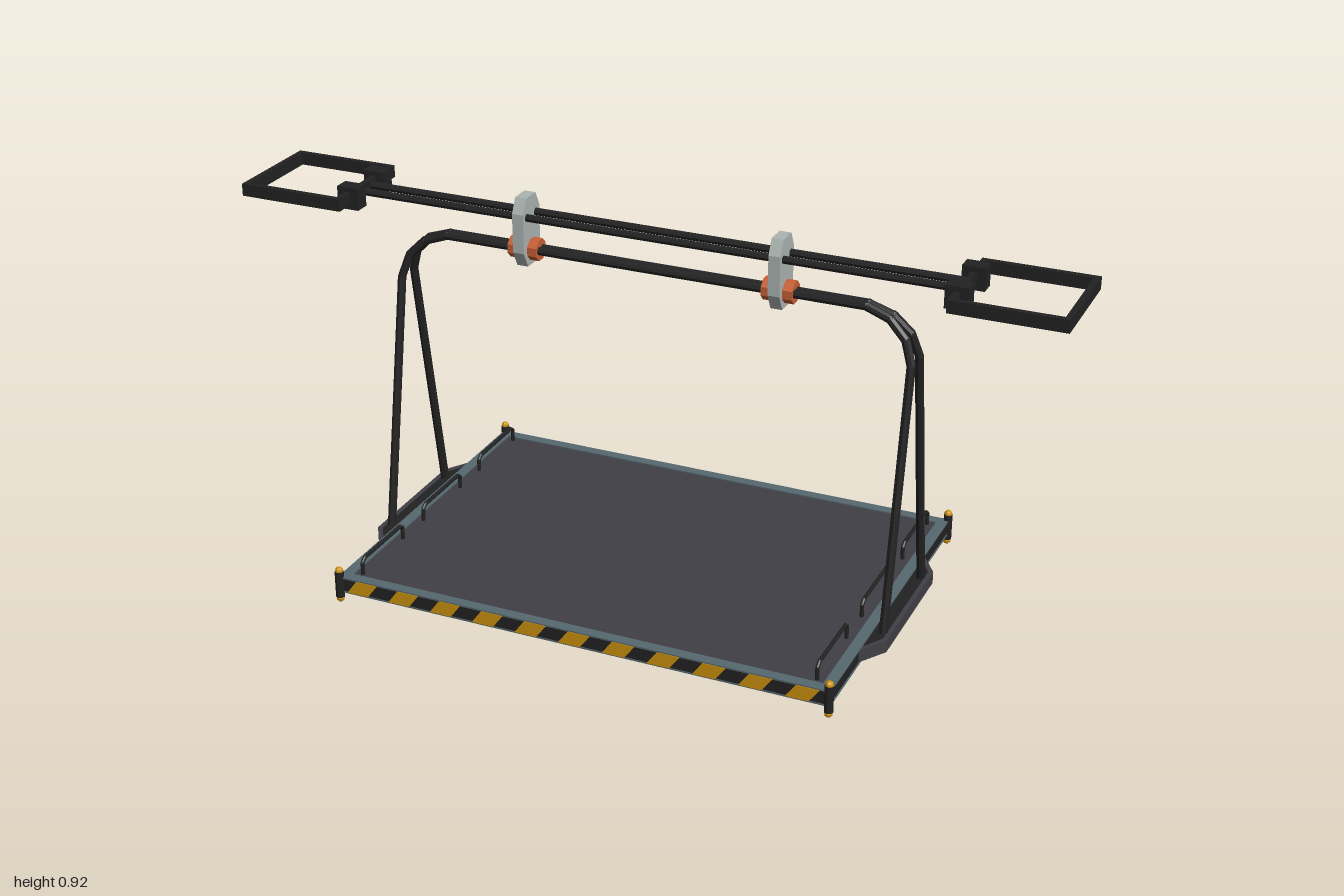
import * as THREE from 'three';
import { mergeGeometries } from 'three/addons/utils/BufferGeometryUtils.js';

const paint = (name, color) => Object.assign(new THREE.MeshStandardMaterial({ color }), { name, flatShading: true });

export function createModel() {
  const model = new THREE.Group();
  model.name = 'hangingPlatform';
  const black = paint('black', 0x222222);
  const deckGrey = paint('deckGrey', 0x403f45);
  const slate = paint('slate', 0x566870);
  const silver = paint('silver', 0xacb5b3);
  const orange = paint('orange', 0xc85f35);
  const yellow = paint('yellow', 0xcc920f);

  const add = (name, geometry, material, x = 0, y = 0, z = 0, parent = model) => {
    const mesh = new THREE.Mesh(geometry, material);
    mesh.name = name;
    mesh.position.set(x, y, z);
    parent.add(mesh);
    return mesh;
  };
  const box = (name, w, h, d, material, x, y, z) => add(name, new THREE.BoxGeometry(w, h, d), material, x, y, z);

  // Straight rods along a bent path, joined by small balls
  const rodPath = (points, r) => {
    const parts = [];
    const up = new THREE.Vector3(0, 1, 0);
    const v = points.map(p => new THREE.Vector3(...p));
    v.forEach((a, i) => {
      if (i > 0 && i < v.length - 1) parts.push(new THREE.SphereGeometry(r, 8, 6).translate(a.x, a.y, a.z));
      if (i === v.length - 1) return;
      const dir = v[i + 1].clone().sub(a);
      const g = new THREE.CylinderGeometry(r, r, dir.length(), 8);
      g.applyQuaternion(new THREE.Quaternion().setFromUnitVectors(up, dir.clone().normalize()));
      const mid = a.clone().addScaledVector(dir, 0.5);
      parts.push(g.translate(mid.x, mid.y, mid.z));
    });
    return mergeGeometries(parts);
  };
  // Flat polygon extruded upwards: points are [x, z]
  const slab = (points, height) => {
    const shape = new THREE.Shape(points.map(([x, z]) => new THREE.Vector2(x, -z)));
    return new THREE.ExtrudeGeometry(shape, { depth: height, bevelEnabled: false }).rotateX(-Math.PI / 2);
  };

  // Platform: deck, black sides and slate rims
  box('deck', 1.18, 0.034, 0.82, deckGrey, 0, 0.046, 0);
  for (const s of [-1, 1]) {
    box('sideBeam', 0.024, 0.033, 0.85, black, s * 0.6, 0.046, 0);
    box('endBeam', 1.2, 0.033, 0.024, black, 0, 0.046, s * 0.414);
    for (const y of [0.028, 0.064]) {
      box('sideRim', 0.026, 0.004, 0.854, slate, s * 0.601, y, 0);
      box('endRim', 1.18, 0.004, 0.026, slate, 0, y, s * 0.414);
    }
  }

  // Slanted warning stripes on the front and back edges
  const stripe = new THREE.Shape([[-0.04, -0.017], [0.015, -0.017], [0.04, 0.017], [-0.015, 0.017]]
    .map(p => new THREE.Vector2(...p)));
  const stripeGeo = new THREE.ExtrudeGeometry(stripe, { depth: 0.003, bevelEnabled: false });
  for (const s of [1, -1]) {
    const edge = new THREE.Group();
    edge.name = s > 0 ? 'frontStripes' : 'backStripes';
    if (s < 0) edge.rotation.y = Math.PI;
    for (let i = 0; i < 11; i++) add('stripe', stripeGeo, yellow, (i - 5) * 0.11, 0.046, 0.4255, edge);
    model.add(edge);
  }

  // Corner posts with yellow tips
  for (const x of [-0.611, 0.611]) for (const z of [-0.426, 0.426]) {
    add('cornerPost', new THREE.CylinderGeometry(0.011, 0.011, 0.066, 8), black, x, 0.047, z);
    for (const y of [0.01, 0.082]) add('postTip', new THREE.SphereGeometry(0.01, 8, 6), yellow, x, y, z);
  }

  for (const s of [-1, 1]) {
    // Side brackets carrying the hoops
    add('bracketCore', slab([[s * 0.6, -0.235], [s * 0.645, -0.165], [s * 0.645, 0.165], [s * 0.6, 0.235]], 0.028), black, 0, 0.031, 0);
    const outer = [[0.61, -0.24], [0.655, -0.17], [0.655, 0.17], [0.61, 0.24]];
    const inner = [[0.61, 0.222], [0.644, 0.165], [0.644, -0.165], [0.61, -0.222]];
    add('bracketRim', slab([...outer, ...inner].map(([x, z]) => [s * x, z]), 0.03), deckGrey, 0, 0.031, 0);

    // Low tie-down handles
    for (const z of [-0.293, 0, 0.293]) {
      const profile = [[-0.095, 0.055], [-0.095, 0.093], [-0.083, 0.102], [0.083, 0.102], [0.095, 0.093], [0.095, 0.055]];
      add('tieHandle', rodPath(profile.map(([a, y]) => [0, y, a]), 0.005), black, s * 0.569, 0, z);
    }
  }

  // Two leaning hoops that meet at the top
  const half = [[0.635, 0.05], [0.635, 0.675], [0.617, 0.73], [0.577, 0.77], [0.52, 0.79]];
  const hoop = [...half.map(([x, y]) => [-x, y]), ...half.slice().reverse()];
  for (const s of [-1, 1]) {
    const lean = y => s * (0.009 + (0.79 - y) * 0.174);
    add('hoop', rodPath(hoop.map(([x, y]) => [x, y, lean(y)]), 0.0105), black);
  }

  // Twin carrying rails with end grips
  for (const s of [-1, 1]) {
    add('rail', rodPath([[-0.745, 0.873, s * 0.023], [0.745, 0.873, s * 0.023]], 0.0095), black);
    box('gripOuterBar', 0.014, 0.03, 0.26, black, s * 0.993, 0.873, 0);
    box('gripInnerBar', 0.014, 0.03, 0.26, black, s * 0.742, 0.873, 0);
    for (const z of [-1, 1]) {
      box('gripSideBar', 0.25, 0.03, 0.014, black, s * 0.868, 0.873, z * 0.123);
      box('gripClamp', 0.054, 0.054, 0.038, black, s * 0.742, 0.873, z * 0.061);
    }
  }

  // Hanger links and the collars around the hoops
  const linkHalf = [[0.022, 0.752], [0.042, 0.79], [0.042, 0.885], [0.024, 0.92]];
  const linkShape = new THREE.Shape([...linkHalf, ...linkHalf.slice().reverse().map(([z, y]) => [-z, y])]
    .map(p => new THREE.Vector2(...p)));
  const linkGeo = new THREE.ExtrudeGeometry(linkShape, { depth: 0.028, bevelEnabled: false })
    .translate(0, 0, -0.014).rotateY(Math.PI / 2);
  const collarGeo = new THREE.CylinderGeometry(0.027, 0.027, 0.074, 8)
    .rotateY(Math.PI / 8).rotateZ(Math.PI / 2);
  for (const x of [-0.315, 0.315]) {
    add('hangerLink', linkGeo, silver, x);
    add('collar', collarGeo, orange, x, 0.79, 0);
  }
  return model;
}
